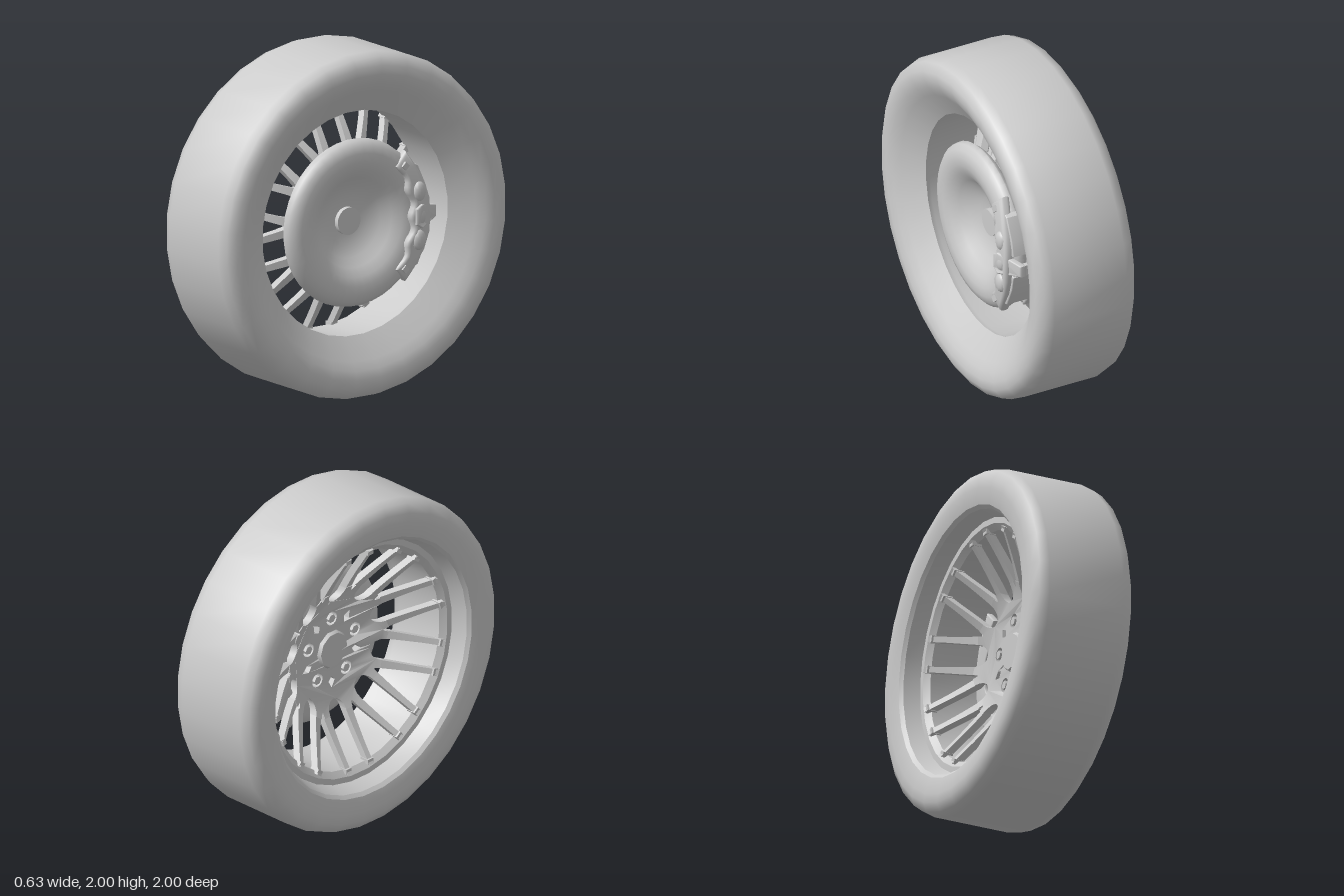
import * as THREE from 'three';
import { toCreasedNormals } from 'three/addons/utils/BufferGeometryUtils.js';

const material = new THREE.MeshStandardMaterial({ color: 0xcccccc });

function addPart(parent, name, geometry, crease = 0.6) {
  const mesh = new THREE.Mesh(toCreasedNormals(geometry, crease), material);
  mesh.name = name;
  parent.add(mesh);
  return mesh;
}

// Revolves [axial x, radius] pairs around the x axis, with a flat facet at the top
function revolve(profile, segments = 32) {
  const half = Math.PI / segments;
  const points = profile.map(([x, r]) => new THREE.Vector2(r / Math.cos(half), x));
  return new THREE.LatheGeometry(points, segments, half).rotateZ(-Math.PI / 2);
}

// Cylinder lying along x
function axle(radius, x0, x1, sides, outerRadius = radius) {
  return new THREE.CylinderGeometry(radius, outerRadius, x1 - x0, sides)
    .rotateZ(-Math.PI / 2).translate((x0 + x1) / 2, 0, 0);
}

// Extrudes a side outline (first axis = -z, second = y) from x0 to x1
function slab(shape, x0, x1, bevel = 0) {
  return new THREE.ExtrudeGeometry(shape, {
    depth: x1 - x0 - 2 * bevel, bevelEnabled: bevel > 0, bevelSize: bevel,
    bevelThickness: bevel, bevelOffset: -bevel, bevelSegments: 3, curveSegments: 8,
  }).rotateY(Math.PI / 2).translate(x0 + bevel, 0, 0);
}

// Moves each vertex by a rule
function bend(geometry, rule) {
  const p = geometry.attributes.position;
  const v = new THREE.Vector3();
  for (let i = 0; i < p.count; i++) {
    rule(v.fromBufferAttribute(p, i));
    p.setXYZ(i, v.x, v.y, v.z);
  }
  return geometry;
}

const shapeOf = (pts) => new THREE.Shape(pts.map(([a, b]) => new THREE.Vector2(a, b)));

// The spokes sweep outwards from the hub to the rim
const dish = (r) => -0.22 * Math.pow(Math.max(0, (r - 0.27) / 0.39), 1.2);

function buildSpokes(parent) {
  const spokes = new THREE.Group();
  spokes.name = 'spokes';
  for (let i = 0; i < 10; i++) {
    const pair = new THREE.Group();
    pair.name = 'spokePair';
    pair.rotation.x = (i * Math.PI) / 5;
    for (const side of [-1, 1]) {
      // Each spoke widens towards the hub
      const g = bend(new THREE.BoxGeometry(0.05, 0.33, 1, 1, 7, 1).translate(0.06, 0.515, 0), (v) => {
        v.z = side * 0.0875 + v.z * (0.034 + 0.07 * Math.max(0, 0.58 - v.y));
        v.x += dish(v.y);
      });
      addPart(pair, 'spoke', g, 0.5);
      // Foot where the spoke meets the rim
      addPart(pair, 'spokeFoot', new THREE.BoxGeometry(0.06, 0.03, 0.042)
        .translate(0.06 + dish(0.66), 0.665, side * 0.0875));
    }
    spokes.add(pair);
  }
  parent.add(spokes);
}

function buildHub(parent) {
  const hub = new THREE.Group();
  hub.name = 'hub';
  // Plate with a rounded notch between the two spokes of each pair
  const outline = [];
  for (let i = 0; i < 10; i++) {
    const a = (i * Math.PI) / 5;
    const put = (x, y) => outline.push([x * Math.cos(a) - y * Math.sin(a), x * Math.sin(a) + y * Math.cos(a)]);
    put(0.111, 0.355);
    put(0.11, 0.385);
    for (let k = 0; k <= 8; k++) {
      const t = (k * Math.PI) / 8;
      put(0.064 * Math.cos(t), 0.385 - 0.075 * Math.sin(t));
    }
    put(-0.11, 0.385);
    put(-0.111, 0.355);
  }
  const plate = shapeOf(outline);
  const lugAngles = [0, 1, 2, 3, 4].map((i) => Math.PI / 2 + (i * Math.PI * 2) / 5);
  for (const a of lugAngles) {
    const hole = new THREE.Path();
    hole.absarc(0.195 * Math.cos(a), 0.195 * Math.sin(a), 0.042, 0, Math.PI * 2, true);
    plate.holes.push(hole);
    // Diamond pockets between the lug nuts
    const b = a + Math.PI / 5;
    const pocket = [[0.17, 0], [0.2, 0.025], [0.245, 0], [0.2, -0.025]].map(([r, s]) =>
      new THREE.Vector2(r * Math.cos(b) - s * Math.sin(b), r * Math.sin(b) + s * Math.cos(b)));
    plate.holes.push(new THREE.Path(pocket));
  }
  const plateGeometry = bend(slab(plate, 0.035, 0.085), (v) => { v.x += dish(Math.hypot(v.y, v.z)); });
  addPart(hub, 'hubPlate', plateGeometry);
  for (const a of lugAngles) {
    addPart(hub, 'lugNut', axle(0.026, 0.03, 0.1, 6).translate(0, 0.195 * Math.sin(a), -0.195 * Math.cos(a)));
  }
  addPart(hub, 'centreCap', axle(0.13, 0.015, 0.06, 10, 0.105));
  addPart(hub, 'axleEnd', axle(0.08, 0.05, 0.125, 24));
  parent.add(hub);
}

function buildCaliper(parent) {
  const caliper = new THREE.Group();
  caliper.name = 'brakeCaliper';
  // Scalloped inner edge, arched outer edge
  const outline = [];
  for (let k = 0; k <= 24; k++) {
    const t = 1 - k / 12;
    outline.push([0.35 - 0.09 * t * t - 0.013 * Math.cos(t * Math.PI * 4), 0.3 * t]);
  }
  outline.push([0.33, -0.38], [0.385, -0.3], [0.44, -0.2], [0.47, -0.1],
    [0.475, 0], [0.47, 0.1], [0.44, 0.2], [0.385, 0.3], [0.33, 0.38]);
  const outerHalf = bend(slab(shapeOf(outline), 0.205, 0.27, 0.022), (v) => { v.x -= 0.3 * v.y * v.y; });
  addPart(caliper, 'outerHalf', outerHalf, 1);
  addPart(caliper, 'innerHalf', slab(shapeOf(outline), 0.03, 0.075, 0.01), 0.9);
  // Bridges over the edge of the disc
  for (const s of [-1, 1]) {
    const bridge = [[0.46, 0.05], [0.488, 0.07], [0.47, 0.16], [0.41, 0.29], [0.38, 0.3], [0.43, 0.2]];
    if (s < 0) bridge.reverse();
    addPart(caliper, 'bridge', slab(shapeOf(bridge.map(([a, b]) => [a, b * s])), 0.04, 0.225, 0.006));
    addPart(caliper, 'guideBolt', axle(0.025, 0.18, 0.255, 4).translate(0, s * 0.3, -0.305));
  }
  for (const y of [-0.14, 0, 0.14]) {
    addPart(caliper, 'pistonHousing', new THREE.SphereGeometry(1, 16, 10)
      .scale(0.026, 0.06, 0.045).translate(0.255, y, -0.395), 1);
  }
  // Mounting arm sloping outwards and hooking over the outside
  const arm = [[0.36, -0.045], [0.4, -0.07], [0.55, -0.035], [0.55, 0.035], [0.4, 0.07], [0.36, 0.045]];
  const armGeometry = bend(slab(shapeOf(arm), 0.245, 0.285, 0.008), (v) => {
    v.x -= 0.5 * Math.max(0, -v.z - 0.4);
  });
  addPart(caliper, 'mountingArm', armGeometry);
  addPart(caliper, 'mountingHook', new THREE.BoxGeometry(0.1, 0.065, 0.03).translate(0.145, 0, -0.53));
  parent.add(caliper);
}

export function createModel() {
  const model = new THREE.Group();
  model.name = 'wheel';
  const wheel = new THREE.Group();
  wheel.name = 'wheelAssembly';
  wheel.position.y = 1;
  model.add(wheel);

  addPart(wheel, 'tyre', revolve([
    [-0.3, 0.785], [-0.312, 0.83], [-0.315, 0.88], [-0.315, 0.93], [-0.285, 0.98], [-0.23, 1],
    [0.23, 1], [0.285, 0.98], [0.315, 0.93], [0.315, 0.88], [0.3, 0.83], [0.27, 0.78], [0.18, 0.65],
  ]), 0.8);

  // Inner barrel with a stepped lip on the outer face
  addPart(wheel, 'rim', revolve([
    [0.18, 0.65], [0.15, 0.66], [-0.16, 0.665], [-0.19, 0.7],
    [-0.19, 0.735], [-0.28, 0.765], [-0.3, 0.785],
  ]), 0.4);

  // Brake disc with a rounded rim and a deep central bowl
  addPart(wheel, 'brakeDisc', revolve([
    [0.08, 0], [0.08, 0.3], [0.105, 0.42], [0.125, 0.46], [0.155, 0.485], [0.19, 0.478], [0.215, 0.45],
    [0.228, 0.41], [0.226, 0.36], [0.21, 0.31], [0.175, 0.26], [0.135, 0.21], [0.105, 0.14], [0.095, 0.07], [0.095, 0],
  ], 40), 0.9);

  buildSpokes(wheel);
  buildHub(wheel);
  buildCaliper(wheel);
  return model;
}
